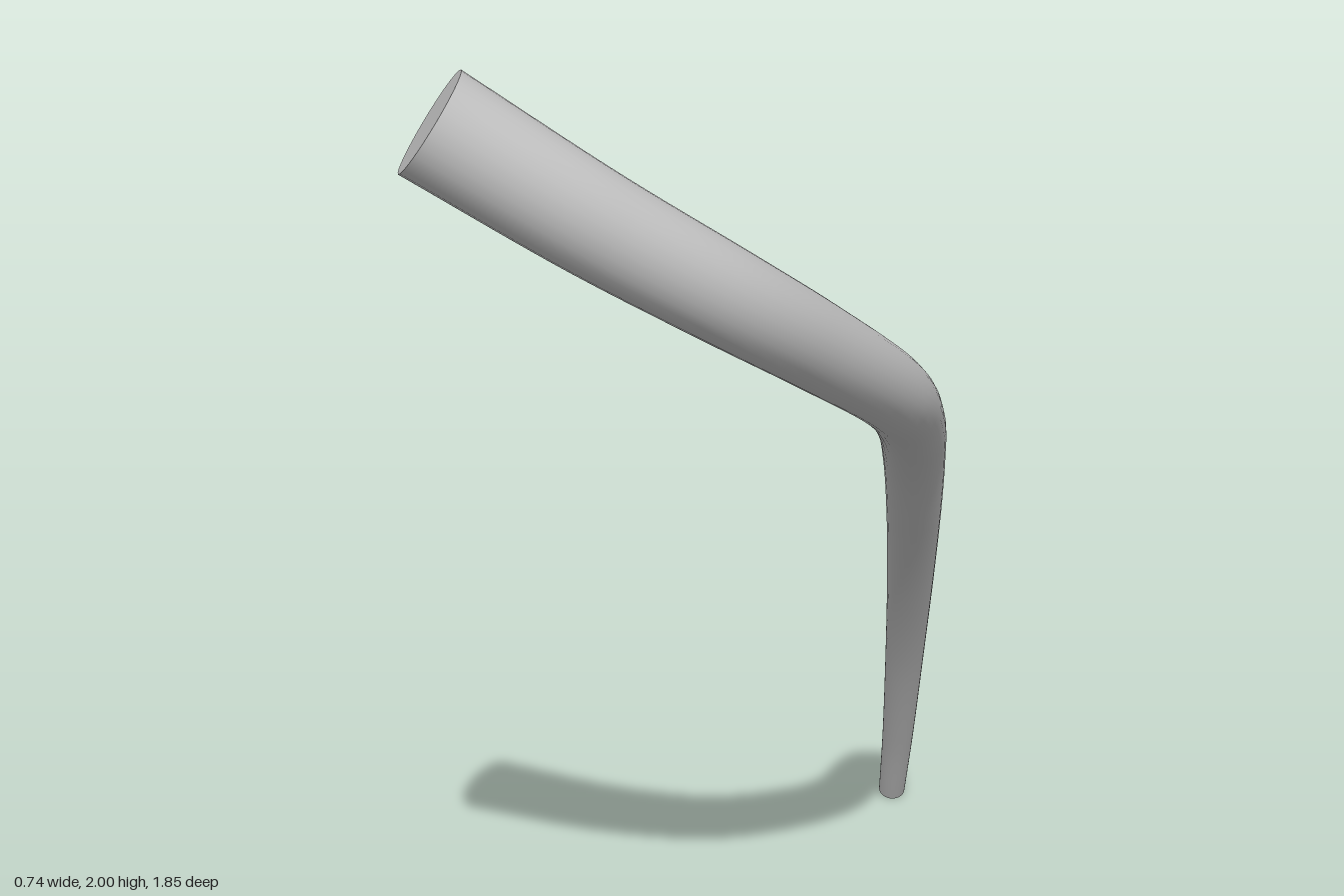
import * as THREE from 'three';

const START_RADIUS = 0.098, END_RADIUS = 0.029;
const SEGMENTS = 80, SIDES = 28;

// Centre line from the thick upper end down to the thin foot
const path = new THREE.CatmullRomCurve3([
  [-0.31, 1.92, 0.825], [-0.07, 1.75, 0.73], [0.115, 1.605, 0.6], [0.22, 1.48, 0.43],
  [0.292, 1.33, 0.19], [0.277, 1.205, -0.02], [0.245, 1.08, -0.18], [0.208, 0.915, -0.33],
  [0.16, 0.7, -0.5], [0.11, 0.465, -0.66], [0.057, 0.19, -0.815], [0.023, 0.016, -0.902],
].map(p => new THREE.Vector3(...p)));

// Tube whose rings shrink evenly along its length
function taperedTube() {
  const geometry = new THREE.TubeGeometry(path, SEGMENTS, 1, SIDES);
  const pos = geometry.attributes.position;
  const v = new THREE.Vector3();
  for (let i = 0; i <= SEGMENTS; i++) {
    const t = i / SEGMENTS;
    const centre = path.getPointAt(t);
    const radius = THREE.MathUtils.lerp(START_RADIUS, END_RADIUS, t);
    for (let j = 0; j <= SIDES; j++) {
      const k = i * (SIDES + 1) + j;
      v.fromBufferAttribute(pos, k).sub(centre).multiplyScalar(radius).add(centre);
      pos.setXYZ(k, v.x, v.y, v.z);
    }
  }
  return geometry;
}

export function createModel() {
  const group = new THREE.Group();
  group.name = 'curvedTaperedStem';
  const grey = new THREE.MeshStandardMaterial({ color: 0xc0c0c0 });
  grey.name = 'light grey';

  const stem = new THREE.Mesh(taperedTube(), grey);
  stem.name = 'stem';
  group.add(stem);

  // Flat discs closing both ends
  for (const [name, t, radius, sign] of [['thickEndCap', 0, START_RADIUS, -1], ['thinEndCap', 1, END_RADIUS, 1]]) {
    const cap = new THREE.Mesh(new THREE.CircleGeometry(radius, SIDES), grey);
    cap.name = name;
    cap.position.copy(path.getPointAt(t));
    cap.lookAt(path.getTangentAt(t).multiplyScalar(sign).add(cap.position));
    group.add(cap);
  }
  return group;
}
